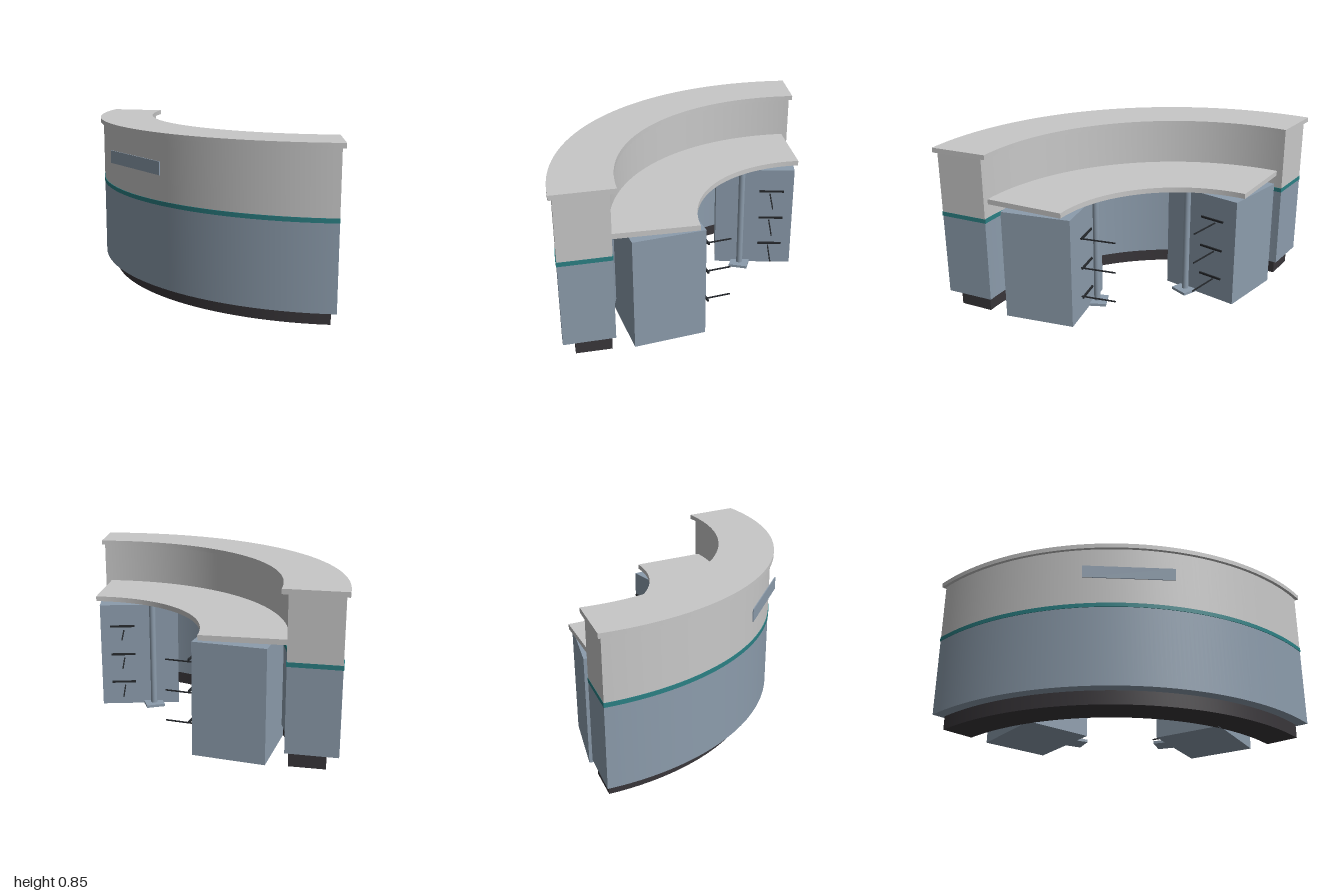
import * as THREE from 'three';
import { toCreasedNormals } from 'three/addons/utils/BufferGeometryUtils.js';

const ARC_CENTRE_Z = -0.86;
const deg = THREE.MathUtils.degToRad;

function material(name, color) {
  const m = new THREE.MeshStandardMaterial({ color });
  m.name = name;
  return m;
}

// Solid slab following a ring sector, symmetric about the front
function arcSlab(inner, outer, halfAngle, y0, y1) {
  const a = deg(halfAngle), mid = -Math.PI / 2;
  const shape = new THREE.Shape();
  shape.absarc(0, 0, outer, mid - a, mid + a, false);
  shape.absarc(0, 0, inner, mid + a, mid - a, true);
  const g = new THREE.ExtrudeGeometry(shape, { depth: y1 - y0, bevelEnabled: false, curveSegments: 48 });
  g.rotateX(-Math.PI / 2);
  g.translate(0, y0, ARC_CENTRE_Z);
  return toCreasedNormals(g, Math.PI / 6);
}

export function createModel() {
  const model = new THREE.Group();
  model.name = 'receptionDesk';

  const grey = material('lightGrey', 0xc8c8c8);
  const blue = material('slateBlue', 0x8c9cac);
  const teal = material('teal', 0x2b8084);
  const dark = material('plinthCharcoal', 0x39363a);
  const black = material('handleBlack', 0x25282c);

  const add = (parent, name, geometry, mat, x = 0, y = 0, z = 0) => {
    const mesh = new THREE.Mesh(geometry, mat);
    mesh.name = name;
    mesh.position.set(x, y, z);
    parent.add(mesh);
    return mesh;
  };

  // Curved counter, stacked from the floor up
  add(model, 'plinth', arcSlab(1.052, 1.226, 48.5, 0, 0.072), dark);
  add(model, 'lowerWall', arcSlab(1.035, 1.284, 49.5, 0.072, 0.49), blue);
  add(model, 'accentBand', arcSlab(1.032, 1.287, 49.55, 0.49, 0.512), teal);
  add(model, 'upperWall', arcSlab(1.035, 1.284, 49.5, 0.512, 0.822), grey);
  add(model, 'counterTop', arcSlab(1.005, 1.301, 50.2, 0.822, 0.846), grey);
  add(model, 'workSurface', arcSlab(0.625, 1.04, 47.7, 0.58, 0.606), grey);

  // Flat plate on the front
  add(model, 'frontPlate', new THREE.BoxGeometry(0.47, 0.066, 0.005), blue, 0, 0.678, 0.433);

  for (const s of [1, -1]) {
    const side = s > 0 ? 'left' : 'right';

    // Drawer pedestal; its origin is the back inner corner
    const pedestal = new THREE.Group();
    pedestal.name = side + 'Pedestal';
    pedestal.position.set(s * 0.42, 0, -0.443);
    pedestal.rotation.y = s * deg(-34.3);
    model.add(pedestal);
    add(pedestal, 'cabinet', new THREE.BoxGeometry(0.358, 0.565, 0.42), blue, s * 0.179, 0.2825, 0.21);

    // Three drawer pulls, each with a thin projecting rod
    for (let i = 0; i < 3; i++) {
      const y = 0.14 + i * 0.158;
      add(pedestal, 'drawerPull', new THREE.BoxGeometry(0.008, 0.01, 0.13), black, s * -0.035, y, 0.12);
      add(pedestal, 'drawerRod', new THREE.BoxGeometry(0.18, 0.006, 0.006), black, s * -0.09, y - 0.033, 0.125);
    }

    // Support post with its foot
    const post = new THREE.Group();
    post.name = side + 'Support';
    post.position.set(s * 0.242, 0, -0.223);
    post.rotation.y = s * deg(-22);
    model.add(post);
    add(post, 'post', new THREE.CylinderGeometry(0.017, 0.017, 0.58, 20), blue, 0, 0.29, 0);
    add(post, 'foot', new THREE.BoxGeometry(0.1, 0.014, 0.1), blue, 0, 0.007, 0);
  }

  return model;
}
